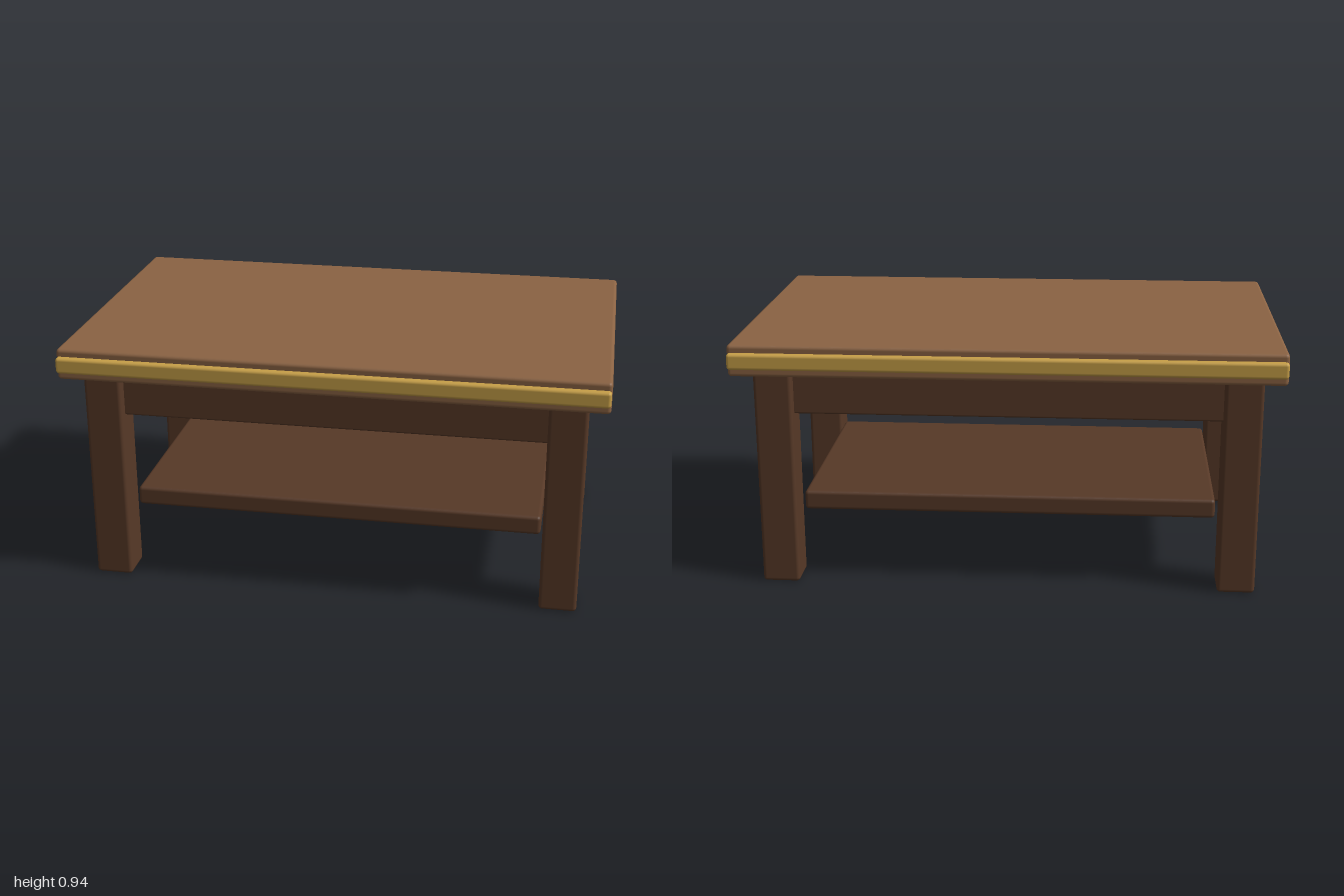
import * as THREE from 'three';
import { RoundedBoxGeometry } from 'three/addons/geometries/RoundedBoxGeometry.js';

const topWood = new THREE.MeshStandardMaterial({ color: 0x8b6343 });
const darkWood = new THREE.MeshStandardMaterial({ color: 0x573927 });
const brass = new THREE.MeshStandardMaterial({ color: 0xc8a048 });

// Soft-edged block, placed by its bottom height
function block(name, [w, h, d], [x, bottom, z], material, radius = 0.014) {
  const mesh = new THREE.Mesh(new RoundedBoxGeometry(w, h, d, 2, radius), material);
  mesh.name = name;
  mesh.position.set(x, bottom + h / 2, z);
  return mesh;
}

export function createModel() {
  const table = new THREE.Group();
  table.name = 'coffeeTable';

  // Top slab, solid apron beneath it, and lower shelf
  table.add(
    block('tableTop', [2, 0.118, 1.22], [0, 0.82, 0], topWood),
    block('apron', [1.81, 0.172, 1.02], [0, 0.655, 0], darkWood, 0.008),
    block('shelf', [1.55, 0.074, 0.89], [0, 0.254, 0], darkWood)
  );

  // Trim strips along the front and back edges
  for (const sz of [1, -1]) {
    table.add(block(sz > 0 ? 'frontTrim' : 'backTrim',
      [1.996, 0.06, 0.05], [0, 0.85, sz * 0.607], brass, 0.012));
  }

  // Four square legs
  for (const sx of [1, -1]) {
    for (const sz of [1, -1]) {
      const name = (sz > 0 ? 'front' : 'back') + (sx > 0 ? 'Left' : 'Right') + 'Leg';
      table.add(block(name, [0.14, 0.823, 0.14], [sx * 0.855, 0, sz * 0.48], darkWood));
    }
  }
  return table;
}
